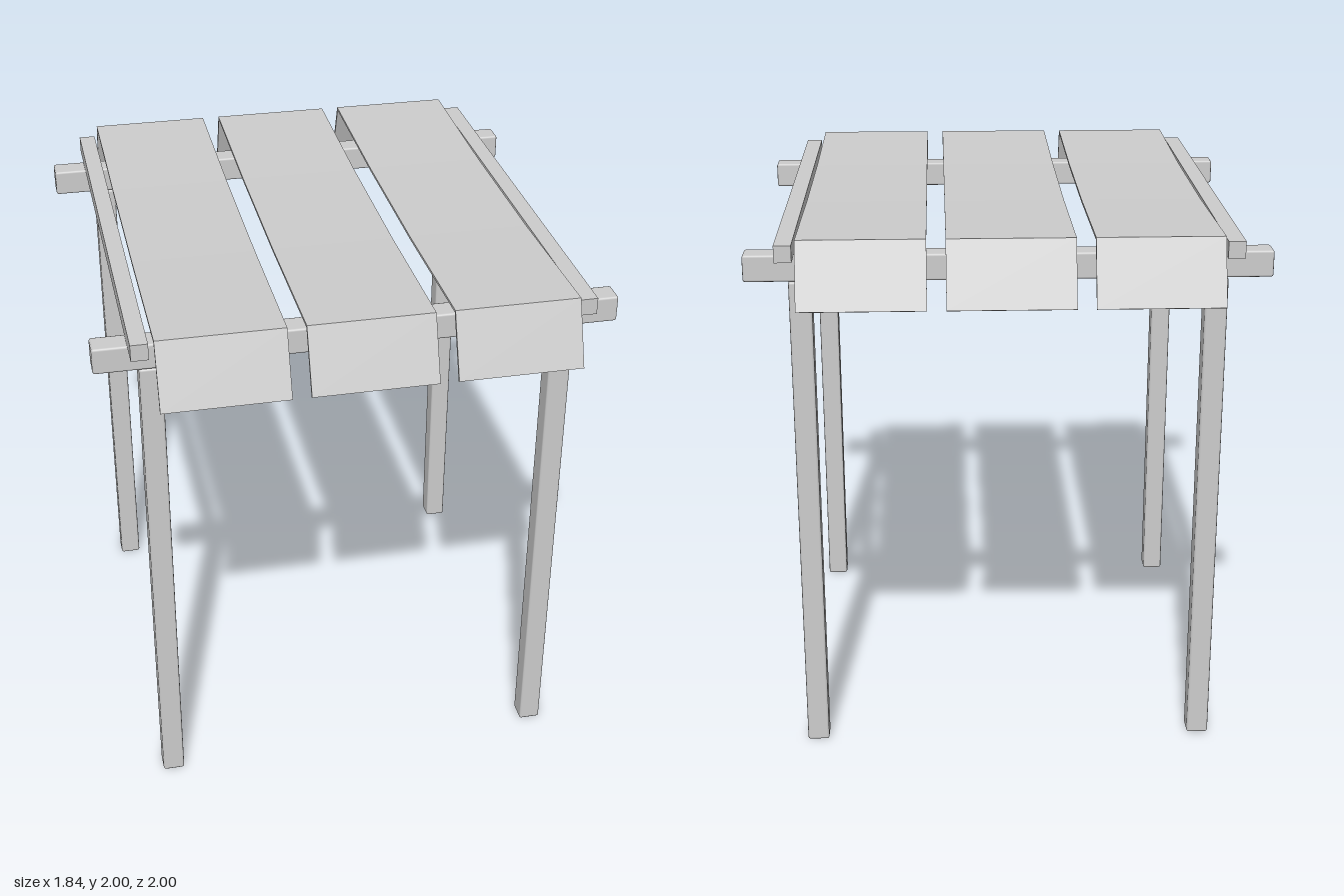
import * as THREE from 'three';
import { RoundedBoxGeometry } from 'three/addons/geometries/RoundedBoxGeometry.js';

export function createModel() {
  const model = new THREE.Group();
  model.name = 'pergola';
  const paleGrey = new THREE.MeshStandardMaterial({ color: 0xcccccc });
  paleGrey.name = 'paleGrey';

  function add(name, geometry, x, y, z) {
    const mesh = new THREE.Mesh(geometry, paleGrey);
    mesh.name = name;
    mesh.position.set(x, y, z);
    model.add(mesh);
  }

  // Four posts with softened edges
  const post = new RoundedBoxGeometry(0.08, 1.81, 0.08, 1, 0.008);
  for (const x of [-0.725, 0.725]) {
    for (const z of [-0.73, 0.73]) add('post', post, x, 0.905, z);
  }

  // Two cross beams resting on the posts
  const beam = new RoundedBoxGeometry(1.84, 0.095, 0.09, 1, 0.008);
  for (const z of [-0.73, 0.73]) add('crossBeam', beam, 0, 1.8605, z);

  // Rafters running front to back
  const rafter = new THREE.BoxGeometry(0.06, 0.06, 1.76);
  const rafterCount = 6;
  for (let i = 0; i < rafterCount; i++) {
    add('rafter', rafter, -0.77 + (1.54 * i) / (rafterCount - 1), 1.94, 0);
  }

  // Shade panels: thin sagging sheet with a flap hanging at each end
  const top = [[-1, 1.772], [-0.915, 1.998], [-0.31, 1.982], [0.31, 1.982], [0.915, 1.998], [1, 1.772]];
  const under = [[0.99, 1.768], [0.907, 1.988], [0.31, 1.972], [-0.31, 1.972], [-0.907, 1.988], [-0.99, 1.768]];
  const profile = new THREE.Shape([...top, ...under].map(([z, y]) => new THREE.Vector2(z, y)));
  const width = 0.44;
  const panel = new THREE.ExtrudeGeometry(profile, { depth: width, bevelEnabled: false });
  panel.translate(0, 0, -width / 2);
  panel.rotateY(-Math.PI / 2);
  for (const x of [-0.505, 0, 0.505]) add('shadePanel', panel, x, 0, 0);

  return model;
}
